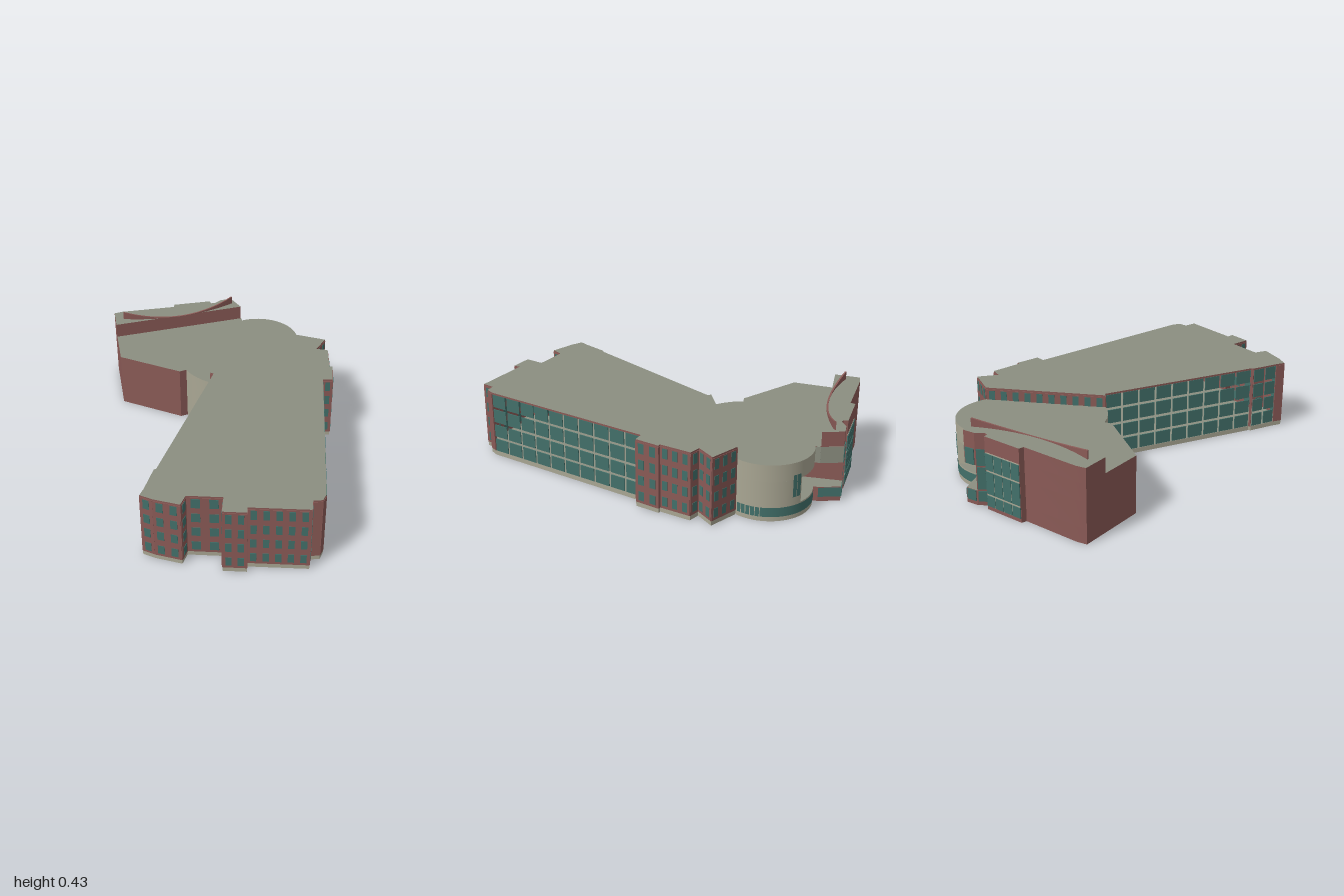
import * as THREE from 'three';
import { toCreasedNormals } from 'three/addons/utils/BufferGeometryUtils.js';

const paint = (name, color, side = THREE.FrontSide) => {
  const m = new THREE.MeshStandardMaterial({ color, side });
  m.name = name;
  return m;
};

export function createModel() {
  const model = new THREE.Group();
  model.name = 'officeBuilding';
  const brick = paint('brick red', 0x8a5a56);
  const glass = paint('green glass', 0x42706a);
  const roof = paint('roof grey', 0x8b8e80);
  const cream = paint('cream stone', 0xa9a693);
  const creamThin = paint('cream band', 0xa9a693, THREE.DoubleSide);
  creamThin.name = 'cream stone thin';
  const glassThin = paint('green glass thin', 0x42706a, THREE.DoubleSide);

  const add = (name, geo, mat, parent = model) => {
    const m = new THREE.Mesh(geo, mat);
    m.name = name;
    parent.add(m);
    return m;
  };
  const group = (name) => {
    const g = new THREE.Group();
    g.name = name;
    model.add(g);
    return g;
  };

  // upright prism over an [x, z] plan
  const prism = (name, plan, y0, y1, side, parent = model) => {
    const shape = new THREE.Shape(plan.map(([x, z]) => new THREE.Vector2(x, -z)));
    let geo = new THREE.ExtrudeGeometry(shape, { depth: y1 - y0, bevelEnabled: false });
    geo.rotateX(-Math.PI / 2).translate(0, y0, 0);
    geo = toCreasedNormals(geo, 0.2);
    return add(name, geo, [roof, side], parent);
  };

  // thin plate along the plan edge a-b, between fractions u0 and u1
  const plate = (name, a, b, y0, y1, mat, parent, u0 = 0, u1 = 1, t = 0.005) => {
    const dx = b[0] - a[0], dz = b[1] - a[1], um = (u0 + u1) / 2;
    const m = add(name, new THREE.BoxGeometry(Math.hypot(dx, dz) * (u1 - u0), y1 - y0, t), mat, parent);
    m.position.set(a[0] + dx * um, (y0 + y1) / 2, a[1] + dz * um);
    m.rotation.y = Math.atan2(-dz, dx);
  };

  const windowRows = [[0.04, 0.09], [0.128, 0.178], [0.214, 0.265], [0.3, 0.354]];
  const glassRows = [[0.028, 0.099], [0.114, 0.184], [0.2, 0.274], [0.289, 0.36]];
  const windows = (a, b, n, rows, parent, fill = 0.5) => {
    for (let i = 0; i < n; i++) for (const [y0, y1] of rows) {
      plate('window', a, b, y0, y1, glass, parent, (i + 0.5 - fill / 2) / n, (i + 0.5 + fill / 2) / n, 0.009);
    }
  };
  const curtain = (a, b, n, parent) => {
    const g = 0.006 / Math.hypot(b[0] - a[0], b[1] - a[1]);
    for (let i = 0; i < n; i++) for (const [y0, y1] of glassRows) {
      plate('glassPane', a, b, y0, y1, glass, parent, i / n + g, (i + 1) / n - g);
    }
  };

  // main wing: x, z, then windows on the edge that follows (negative = glass wall columns)
  const edges = [
    [0.52, -0.48, 3], [0.655, -0.385, 2], [0.575, -0.305, 1], [0.63, -0.275, 3],
    [0.58, -0.115, 0], [0.595, -0.11, 2], [0.55, 0.015, 1], [0.5, 0, -10],
    [0.18, 0.905, 0], [0.15, 0.94, 0], [0.105, 0.93, 1], [0.08, 0.99, 5],
    [-0.2, 0.89, 0], [-0.21, 0.925, 2], [-0.32, 0.885, 2], [-0.285, 0.79, 2],
    [-0.45, 0.73, 1], [-0.49, 0.785, 2], [-0.605, 0.71, 1], [-0.655, 0.665, 0],
    [-0.625, 0.625, -2], [-0.548, 0.498, 0], [-0.535, 0.495, -9], [-0.05, -0.225, 0], [-0.065, -0.24, 10],
  ];
  const mainPlan = edges.map(([x, z]) => [x, z]);
  const main = group('mainWing');
  prism('mainBase', mainPlan, 0, 0.025, cream, main);
  prism('mainRoof', mainPlan, 0.36, 0.37, brick, main);
  edges.forEach(([x, z, n], i) => {
    const a = [x, z], b = mainPlan[(i + 1) % mainPlan.length];
    if (n < 0) return curtain(a, b, -n, main);
    plate('brickWall', a, b, 0.025, 0.361, brick, main);
    const last = i === edges.length - 1;
    windows(a, b, n, last ? windowRows.slice(3) : windowRows, main);
  });

  // round hall
  const cx = 0.325, cz = -0.605, r = 0.23, deg = Math.PI / 180;
  const arc = (a0, a1, n) => Array.from({ length: n + 1 }, (_, i) => {
    const a = (a0 + (a1 - a0) * i / n) * deg;
    return [cx + r * Math.cos(a), cz + r * Math.sin(a)];
  });
  const bulge = [[-0.16, -0.4], [-0.145, -0.35], [-0.12, -0.305], [-0.095, -0.27], [-0.065, -0.24]];
  const drumPlan = [...bulge, ...arc(32.7, -97.6, 36)];
  const drumCut = [...bulge, ...arc(32.7, -53.6, 24), [0.2, -0.74]];
  const hall = group('roundHall');
  prism('hallBase', drumPlan, 0, 0.08, cream, hall);
  prism('hallMiddle', drumCut, 0.08, 0.215, cream, hall);
  prism('hallTop', drumPlan, 0.215, 0.305, cream, hall);
  const curvedGlass = (name, a0, a1, y0, y1) => {
    const geo = new THREE.CylinderGeometry(r + 0.003, r + 0.003, y1 - y0, 16, 1, true, (90 - a0) * deg, (a0 - a1) * deg);
    geo.translate(cx, (y0 + y1) / 2, cz);
    add(name, geo, glassThin, hall);
  };
  curvedGlass('lowWindowBand', 0, -97, 0.025, 0.075);
  for (let i = 0; i < 5; i++) curvedGlass('lowWindow', 30 - i * 6, 25 - i * 6, 0.025, 0.075);
  for (let i = 0; i < 2; i++) curvedGlass('tallWindow', -40 - i * 6, -45.3 - i * 6, 0.12, 0.24);

  // rear block with a covered terrace cut into its corner
  const north = [[0.2, -0.97], [0.155, -0.945], [0.135, -0.95], [0.135, -0.975], [-0.08, -0.995],
    [-0.09, -0.97], [-0.395, -1], [-0.445, -0.995]];
  const west = [[-0.485, -0.635], [-0.2, -0.395], [-0.16, -0.4]];
  const corner = arc(-97.6, -97.6, 1)[0];
  const east = [corner, [0.295, -0.86], [0.265, -0.97]];
  const block = group('rearBlock');
  const blockPlan = [...east, ...north, ...west];
  prism('blockBase', blockPlan, 0, 0.08, brick, block);
  prism('blockMiddle', [[0.2, -0.74], [0.2, -0.94], ...north, ...west], 0.08, 0.215, brick, block);
  prism('blockTop', blockPlan, 0.215, 0.305, brick, block);
  prism('penthouse', [[0.295, -0.86], [0.265, -0.97], ...north, [-0.46, -0.86]], 0.305, 0.385, brick, block);
  plate('terraceFascia', corner, east[1], 0.216, 0.304, roof, block);
  plate('terraceFascia', east[1], east[2], 0.216, 0.304, roof, block);
  plate('terraceGlass', east[1], east[2], 0.025, 0.075, glass, block);
  const rearRows = [[0.022, 0.078], [0.088, 0.205], [0.215, 0.3]];
  plate('mullionBacking', north[3], north[4], 0.02, 0.305, creamThin, block, 0.02, 0.98, 0.004);
  windows(north[3], north[4], 4, rearRows, block, 0.92);
  windows(north[0], north[1], 1, rearRows, block, 0.8);
  windows(east[2], north[0], 1, [rearRows[0], rearRows[2]], block, 0.8);

  // curved sail wall standing on the penthouse
  const sail = new THREE.BoxGeometry(1, 1, 0.009, 32, 1, 1);
  const p = sail.attributes.position;
  for (let i = 0; i < p.count; i++) {
    const u = p.getX(i) + 0.5, s = (2 * u - 1) ** 2;
    p.setXYZ(i, -0.405 + 0.66 * u, 0.384 + (p.getY(i) + 0.5) * (0.002 + 0.043 * s), -0.855 - 0.063 * s + p.getZ(i));
  }
  sail.computeVertexNormals();
  add('sailWall', sail, brick, block);

  return model;
}
